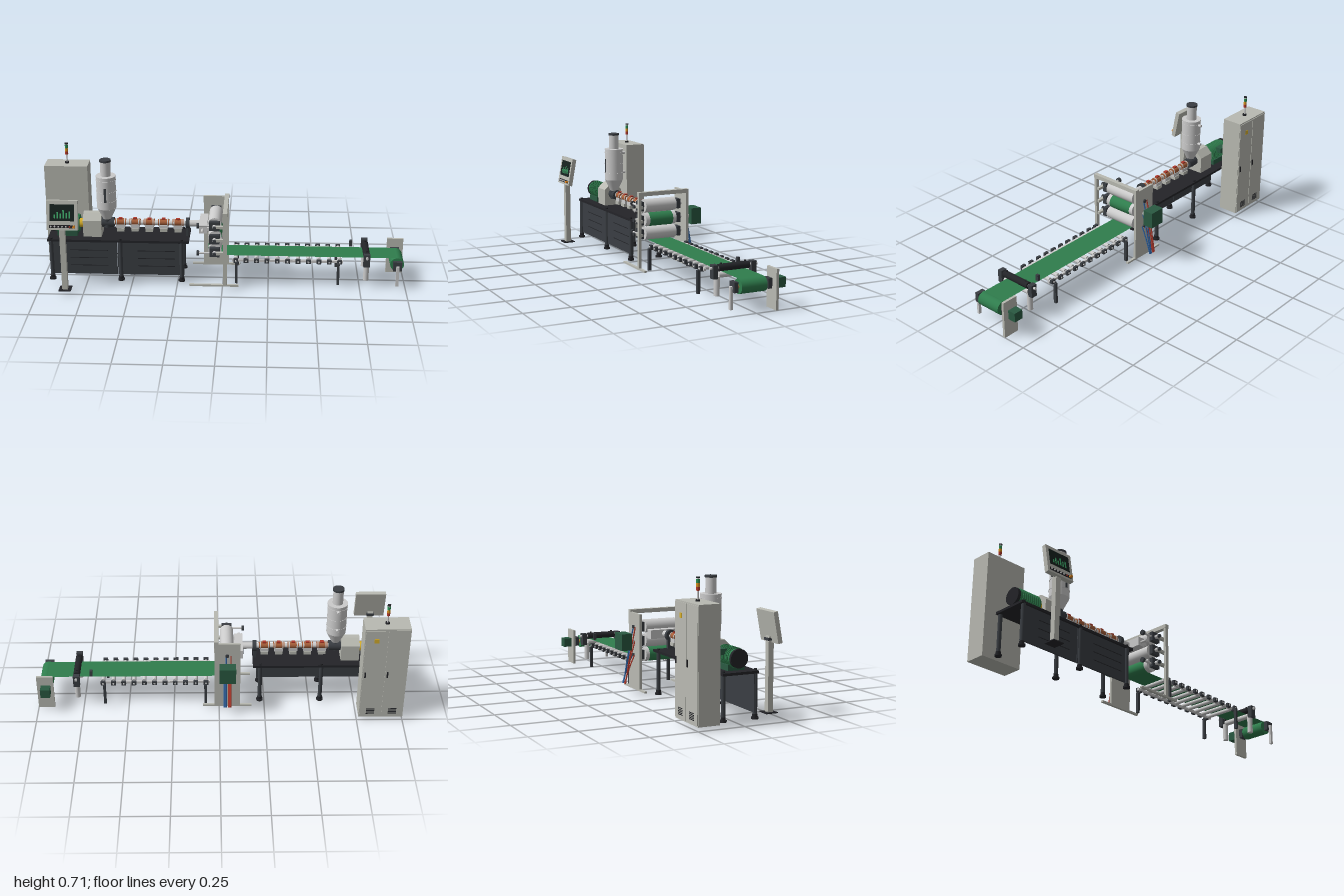
import * as THREE from 'three';

const GREY = 0xcccccc, PAINT = 0xb9bab2, DARK = 0x3a3e43, BLACK = 0x232428;
const GREEN = 0x2f7d4d, DEEP = 0x2a5a42, RED = 0xb23a2c, GOLD = 0xc79a45, BLUE = 0x2f62a0;
const mats = {};
const mat = (c) => (mats[c] ??= new THREE.MeshStandardMaterial({ color: c }));

export function createModel() {
  const root = new THREE.Group();
  let parent = root;

  const group = (name) => {
    parent = new THREE.Group();
    parent.name = name;
    root.add(parent);
    return parent;
  };
  const add = (name, color, geo, x = 0, y = 0, z = 0) => {
    const m = new THREE.Mesh(geo, mat(color));
    m.name = name;
    m.position.set(x, y, z);
    parent.add(m);
    return m;
  };
  // box given by its extents
  const box = (name, c, x0, x1, y0, y1, z0, z1) =>
    add(name, c, new THREE.BoxGeometry(x1 - x0, y1 - y0, z1 - z0), (x0 + x1) / 2, (y0 + y1) / 2, (z0 + z1) / 2);
  // cylinder between a and b along one axis, u and v are the other two coordinates in xyz order
  const cyl = (name, c, axis, r, a, b, u, v) => {
    const g = new THREE.CylinderGeometry(r, r, b - a, 32), m = (a + b) / 2;
    if (axis === 'x') return add(name, c, g.rotateZ(-Math.PI / 2), m, u, v);
    if (axis === 'z') return add(name, c, g.rotateX(Math.PI / 2), u, v, m);
    return add(name, c, g, u, m, v);
  };

  // Electrical cabinet with doors at the back and a signal tower
  group('controlCabinet');
  box('cabinetBody', PAINT, -1, -0.76, 0.02, 0.597, -0.25, -0.135);
  for (const x of [-0.997, -0.878]) {
    box('cabinetDoor', PAINT, x, x + 0.115, 0.028, 0.59, -0.254, -0.249);
    for (let i = 0; i < 5; i++) box('ventSlot', BLACK, x + 0.035, x + 0.08, 0.045 + i * 0.008, 0.049 + i * 0.008, -0.2555, -0.253);
    box('doorHandle', BLACK, x + 0.098, x + 0.106, 0.29, 0.325, -0.258, -0.253);
  }
  box('warningPlate', 0xd8b02c, -0.835, -0.81, 0.515, 0.54, -0.2555, -0.253);
  cyl('towerBase', BLACK, 'y', 0.011, 0.597, 0.606, -0.88, -0.193);
  cyl('towerPole', GREY, 'y', 0.004, 0.606, 0.65, -0.88, -0.193);
  [RED, 0xd9921f, 0x2c8f52].forEach((c, i) => cyl('towerLamp', c, 'y', 0.0085, 0.648 + i * 0.0185, 0.666 + i * 0.0185, -0.88, -0.193));
  cyl('towerNeck', GREY, 'y', 0.007, 0.703, 0.709, -0.88, -0.193);
  cyl('towerCap', BLACK, 'y', 0.009, 0.708, 0.714, -0.88, -0.193);

  // Operator panel on a post
  group('operatorPost');
  box('postBase', BLACK, -0.883, -0.817, 0.017, 0.022, 0.187, 0.253);
  box('post', PAINT, -0.865, -0.835, 0.022, 0.4, 0.206, 0.235);
  box('postBracket', DARK, -0.87, -0.83, 0.38, 0.393, 0.2, 0.235);
  const panel = group('operatorPanel');
  panel.position.set(-0.845, 0.451, 0.22);
  panel.rotation.x = -0.185;
  box('panelHousing', PAINT, -0.083, 0.083, -0.08, 0.08, -0.012, 0.012);
  box('screen', 0x17221f, -0.065, 0.065, -0.03, 0.06, 0.011, 0.0135);
  [0.02, 0.035, 0.025, 0.045, 0.03, 0.038].forEach((h, i) =>
    box('screenBar', 0x3fae6c, -0.045 + i * 0.016, -0.037 + i * 0.016, -0.015, h - 0.015, 0.013, 0.0145));
  box('keyStrip', BLACK, -0.07, 0.07, -0.068, -0.052, 0.011, 0.0135);
  for (let i = 0; i < 6; i++) cyl('panelKey', i === 5 ? RED : GREY, 'z', 0.0045, 0.012, 0.018, -0.06 + i * 0.02, -0.06);
  cyl('stopButton', 0xd9821f, 'z', 0.007, 0.012, 0.026, 0.063, -0.06);

  // Machine bed: table top, front panels, legs with feet
  group('machineBed');
  box('tableTop', BLACK, -0.96, -0.185, 0.243, 0.256, -0.098, 0.098);
  for (const [a, b] of [[-0.948, -0.58], [-0.576, -0.212]]) {
    box('frontPanel', DARK, a, b, 0.05, 0.243, 0.078, 0.088);
    for (const y of [0.1, 0.145, 0.19]) box('panelGroove', BLACK, a + 0.11, b - 0.05, y, y + 0.004, 0.087, 0.089);
  }
  for (const x of [-0.94, -0.56, -0.225]) for (const z of [-0.086, 0.089]) {
    cyl('bedLeg', DARK, 'y', 0.011, 0.03, 0.245, x, z);
    cyl('bedFoot', BLACK, 'y', 0.018, 0.017, 0.027, x, z);
    cyl('bedFootCollar', BLACK, 'y', 0.013, 0.027, 0.042, x, z);
    cyl('tableBolt', BLACK, 'y', 0.008, 0.256, 0.264, x, z);
  }

  // Motor and gearbox
  group('drive');
  cyl('motorBody', GREEN, 'x', 0.046, -0.925, -0.79, 0.318, 0);
  for (let i = 0; i < 9; i++) cyl('motorRib', GREEN, 'x', 0.05, -0.91 + i * 0.0135, -0.905 + i * 0.0135, 0.318, 0);
  cyl('fanCover', BLACK, 'x', 0.047, -0.942, -0.925, 0.318, 0);
  box('motorFeet', DEEP, -0.91, -0.8, 0.256, 0.285, -0.045, 0.045);
  box('terminalBox', DEEP, -0.88, -0.83, 0.33, 0.36, -0.072, -0.035);
  cyl('coupling', 0xd8b02c, 'x', 0.026, -0.79, -0.762, 0.318, 0);
  const gable = new THREE.Shape([[-0.052, 0.256], [0.052, 0.256], [0.052, 0.35], [0.015, 0.385], [-0.015, 0.385], [-0.052, 0.35]]
    .map((p) => new THREE.Vector2(...p)));
  add('gearbox', PAINT, new THREE.ExtrudeGeometry(gable, { depth: 0.1, bevelEnabled: false }).rotateY(Math.PI / 2), -0.767);

  // Hopper and loader
  group('hopper');
  const HX = -0.638, HZ = 0.005;
  cyl('feedThroat', DARK, 'y', 0.022, 0.3, 0.352, HX, HZ);
  add('hopperCone', GREY, new THREE.CylinderGeometry(0.053, 0.02, 0.07, 40), HX, 0.38, HZ);
  cyl('hopperBody', GREY, 'y', 0.053, 0.415, 0.598, HX, HZ);
  for (const y of [0.455, 0.51, 0.575, 0.595]) cyl('hopperBand', GREY, 'y', 0.055, y, y + 0.004, HX, HZ);
  for (const y of [0.456, 0.572]) cyl('hopperPipe', GREY, 'z', 0.008, -0.066, -0.04, HX, y);
  box('sightGlass', DARK, HX - 0.006, HX + 0.006, 0.46, 0.54, 0.055, 0.06);
  cyl('loader', GREY, 'y', 0.028, 0.598, 0.68, HX, HZ);
  cyl('loaderCap', DARK, 'y', 0.031, 0.679, 0.69, HX, HZ);

  // Barrel with heaters and cooling fans
  group('extruderBarrel');
  cyl('feedBlock', DARK, 'x', 0.028, -0.67, -0.6, 0.325, 0);
  cyl('barrel', GREY, 'x', 0.013, -0.62, -0.13, 0.325, 0);
  for (let i = 0; i < 5; i++) {
    const x = -0.565 + i * 0.079;
    cyl('heaterBand', 0xa8603a, 'x', 0.018, x - 0.03, x + 0.03, 0.328, 0);
    for (const s of [-1, 1]) cyl('heaterClamp', GREY, 'x', 0.02, x + s * 0.022 - 0.003, x + s * 0.022 + 0.003, 0.328, 0);
    box('heaterPlug', RED, x - 0.01, x + 0.01, 0.342, 0.352, -0.008, 0.008);
    box('fanDuct', GREY, x - 0.024, x + 0.024, 0.296, 0.316, -0.016, 0.016);
    box('coolingFan', PAINT, x - 0.02, x + 0.02, 0.277, 0.296, -0.02, 0.02);
  }
  cyl('barrelFlange', DARK, 'x', 0.03, -0.205, -0.185, 0.325, 0);
  box('barrelSupport', DARK, -0.205, -0.19, 0.256, 0.31, -0.02, 0.02);
  cyl('dieAdapter', GREY, 'x', 0.018, -0.185, -0.125, 0.325, 0);
  box('sheetDie', GREY, -0.13, -0.085, 0.3, 0.348, -0.085, 0.085);
  box('dieLip', GREY, -0.087, -0.066, 0.314, 0.33, -0.08, 0.08);
  cyl('dieBolt', GREY, 'z', 0.007, 0.08, 0.122, -0.11, 0.322);

  // Three-roll calender
  group('calender');
  const RX = -0.043, rollY = [0.36, 0.283, 0.207];
  box('backPlate', PAINT, -0.115, 0.012, 0.028, 0.435, -0.145, -0.131);
  for (const [z0, z1] of [[0.142, 0.157], [-0.145, -0.131]]) {
    box('calenderPost', PAINT, 0.005, 0.025, 0.028, 0.43, z0, z1);
    box('calenderFoot', PAINT, -0.18, 0.09, 0.018, 0.028, z0, z1);
  }
  box('topBeam', PAINT, 0.003, 0.027, 0.425, 0.447, -0.145, 0.158);
  for (const y of rollY) {
    cyl('calenderRoll', GREY, 'z', 0.0365, -0.088, 0.097, RX, y);
    cyl('rollShaft', GREY, 'z', 0.011, -0.135, 0.15, RX, y);
    box('bearingBlock', DARK, RX - 0.028, RX + 0.028, y - 0.026, y + 0.026, 0.107, 0.13);
    box('bearingBlock', DARK, RX - 0.028, RX + 0.028, y - 0.026, y + 0.026, -0.118, -0.096);
    box('bearingArm', PAINT, RX, 0.02, y - 0.007, y + 0.007, 0.128, 0.146);
    cyl('rotaryJoint', DARK, 'z', 0.01, 0.14, 0.16, RX, y);
    cyl('rotaryJoint', DARK, 'z', 0.01, -0.152, -0.14, RX, y);
  }
  for (const y of [0.36, 0.2]) {
    cyl('adjusterScrew', GREY, 'x', 0.006, -0.13, -0.06, y, 0.118);
    cyl('adjusterWheel', DARK, 'x', 0.014, -0.14, -0.127, y, 0.118);
  }
  box('calenderDrive', DEEP, -0.09, 0, 0.24, 0.33, -0.237, -0.178);
  cyl('driveShaft', GREY, 'z', 0.014, -0.18, -0.14, RX, 0.283);
  rollY.forEach((y, i) => [RED, BLUE].forEach((c, k) => {
    const x = RX - 0.02 + k * 0.025 + i * 0.006;
    const path = new THREE.CatmullRomCurve3([[y, -0.146], [y * 0.55 + 0.03, -0.174], [0.055, -0.205]]
      .map(([h, z]) => new THREE.Vector3(x, h, z)));
    add('waterHose', c, new THREE.TubeGeometry(path, 20, 0.0035, 10));
  }));

  // Sheet: S-wrap round the lower rolls, then along the rollers to the winder
  group('sheet');
  const pts = [], R = 0.0378, N = 20;
  for (let i = 0; i <= N; i++) {
    const a = Math.PI / 2 - (i / N) * Math.PI;
    pts.push([RX + R * Math.cos(a), 0.283 + R * Math.sin(a)]);
  }
  for (let i = 1; i <= N; i++) {
    const a = Math.PI / 2 + (i / N) * Math.PI;
    pts.push([RX + R * Math.cos(a), 0.207 + R * Math.sin(a)]);
  }
  pts.push([0.95, 0.168]);
  const strip = new THREE.PlaneGeometry(1, 1, 1, pts.length - 1);
  pts.forEach(([x, y], i) => [0.073, -0.067].forEach((z, k) => strip.attributes.position.setXYZ(i * 2 + k, x, y, z)));
  strip.computeVertexNormals();
  add('plasticSheet', GREEN, strip).material = new THREE.MeshStandardMaterial({ color: GREEN, side: THREE.DoubleSide });

  // Roller conveyor
  group('conveyor');
  for (const s of [-1, 1]) {
    box('sideRail', GREY, 0.05, 0.655, 0.144, 0.157, s * 0.093 - 0.006, s * 0.093 + 0.006);
    for (const x of [0.075, 0.63]) {
      box('conveyorLeg', DARK, x - 0.007, x + 0.007, 0.025, 0.146, s * 0.118 - 0.008, s * 0.118 + 0.008);
      box('legBracket', DARK, x - 0.007, x + 0.007, 0.138, 0.15, s * 0.105 - 0.015, s * 0.105 + 0.015);
    }
  }
  for (let i = 0; i < 11; i++) {
    const x = 0.072 + i * 0.0565;
    cyl('conveyorRoller', GREY, 'z', 0.011, -0.088, 0.088, x, 0.156);
    cyl('rollerAxle', GREY, 'z', 0.005, -0.118, 0.118, x, 0.154);
    for (const s of [-1, 1]) box('rollerBearing', DARK, x - 0.013, x + 0.013, 0.143, 0.165, s * 0.108 - 0.007, s * 0.108 + 0.007);
  }

  // Thickness sensor and pull-roll stand
  group('pullStand');
  box('sensor', DARK, 0.697, 0.712, 0.175, 0.21, -0.075, -0.058);
  cyl('upperPullRoll', BLACK, 'z', 0.0185, -0.08, 0.092, 0.783, 0.188);
  cyl('lowerPullRoll', GREY, 'z', 0.015, -0.08, 0.09, 0.783, 0.152);
  for (const z of [-0.105, 0.113]) {
    box('pullBearing', DARK, 0.765, 0.8, 0.135, 0.205, z - 0.013, z + 0.013);
    cyl('pullShaft', GREY, 'z', 0.007, z - 0.025, z + 0.025, 0.783, 0.188);
  }
  for (const z of [-0.085, 0.098]) cyl('pullLeg', GREY, 'y', 0.015, 0.048, 0.145, 0.783, z);
  for (const z of [-0.06, 0.075]) cyl('pressureScrew', BLACK, 'y', 0.005, 0.2, 0.212, 0.783, z);

  // Winder
  group('winder');
  box('winderPlate', PAINT, 0.91, 1, 0, 0.205, -0.123, -0.109);
  cyl('sheetRoll', GREEN, 'z', 0.0375, -0.066, 0.076, 0.952, 0.131);
  cyl('windingShaft', GOLD, 'z', 0.011, -0.135, 0.105, 0.952, 0.131);
  for (const [z0, z1] of [[-0.1, -0.078], [0.088, 0.11]]) box('winderBearing', DARK, 0.928, 0.976, 0.106, 0.158, z0, z1);
  box('winderLeg', GREY, 0.944, 0.96, 0.02, 0.135, 0.108, 0.122);
  box('winderDrive', DEEP, 0.925, 0.977, 0.105, 0.156, -0.176, -0.13);

  return root;
}
